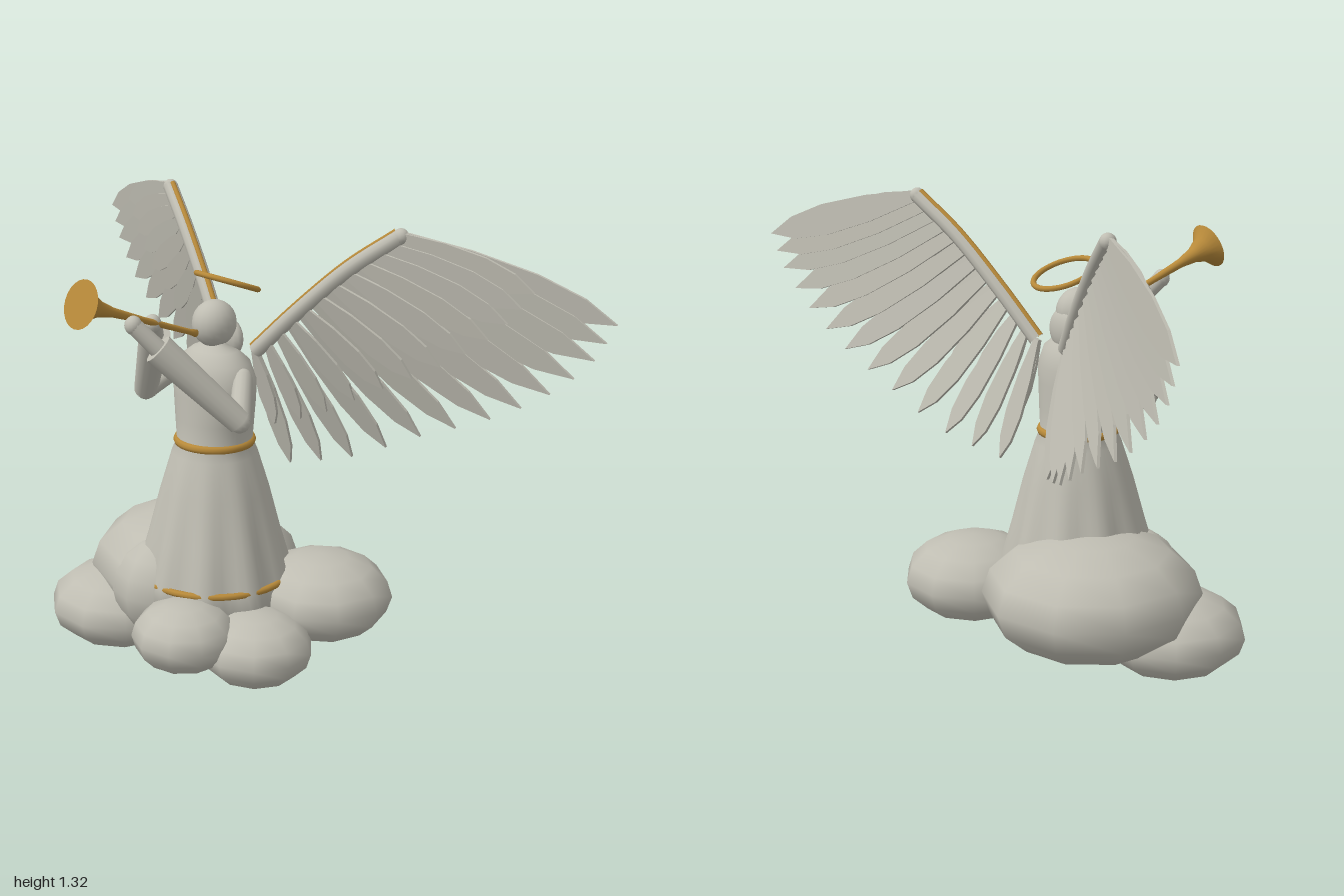
import * as THREE from 'three';
import { mergeVertices } from 'three/addons/utils/BufferGeometryUtils.js';

const V = (x, y, z) => new THREE.Vector3(x, y, z);
const UP = V(0, 1, 0);

export function createModel() {
  const model = new THREE.Group();
  model.name = 'trumpetingAngel';
  const stone = new THREE.MeshStandardMaterial({ color: 0xbfbdb2 });
  stone.name = 'pale stone';
  const gold = new THREE.MeshStandardMaterial({ color: 0xb88a3a });
  gold.name = 'gold';

  function add(name, geometry, material, parent = model) {
    const mesh = new THREE.Mesh(geometry, material);
    mesh.name = name;
    parent.add(mesh);
    return mesh;
  }
  // Tapered cylinder between two points
  function limb(name, a, b, ra, rb, parent) {
    const dir = b.clone().sub(a);
    const mesh = add(name, new THREE.CylinderGeometry(rb, ra, dir.length(), 14), stone, parent);
    mesh.position.copy(a).addScaledVector(dir, 0.5);
    mesh.quaternion.setFromUnitVectors(UP, dir.normalize());
  }
  function ball(name, p, sx, sy, sz, seg = [18, 12], parent = model) {
    const mesh = add(name, new THREE.SphereGeometry(1, ...seg), stone, parent);
    mesh.position.copy(p);
    mesh.scale.set(sx, sy, sz);
    return mesh;
  }
  function ring(name, y, z, r, tube, tilt = 0) {
    const mesh = add(name, new THREE.TorusGeometry(r, tube, 8, 40), gold);
    mesh.position.set(0, y, z);
    mesh.rotation.x = Math.PI / 2 - tilt;
  }

  // Cloud base: x, y, z, radius, half height
  const clouds = new THREE.Group();
  clouds.name = 'cloudBase';
  model.add(clouds);
  [
    [-0.145, 0.24, -0.075, 0.31, 0.178],
    [0.23, 0.21, -0.23, 0.205, 0.125],
    [0.245, 0.135, 0.045, 0.163, 0.105],
    [0.125, 0.18, 0.205, 0.148, 0.1],
    [-0.27, 0.12, 0.115, 0.21, 0.12],
    [-0.09, 0.23, 0.11, 0.14, 0.145],
  ].forEach(([x, y, z, r, h], i) => {
    ball('cloudPuff', V(x, y, z), r, h, r, [10, 8], clouds).rotation.y = i * 0.4 + 0.3;
  });

  // Robe: turned profile whose folds deepen towards the hem
  const profile = [[0, 0.16], [0.235, 0.17], [0.219, 0.28], [0.187, 0.4], [0.155, 0.53],
    [0.122, 0.64], [0.107, 0.675], [0.117, 0.74], [0.131, 0.81], [0.132, 0.86],
    [0.112, 0.91], [0.072, 0.94], [0.037, 0.955], [0.032, 0.98]];
  let robe = new THREE.LatheGeometry(profile.map(([r, y]) => new THREE.Vector2(r, y)), 60);
  const pos = robe.attributes.position;
  for (let i = 0; i < pos.count; i++) {
    const x = pos.getX(i), y = pos.getY(i), z = pos.getZ(i);
    const depth = 0.045 * THREE.MathUtils.clamp((0.66 - y) / 0.4, 0, 1);
    const k = 1 + depth * Math.cos(10 * Math.atan2(z, x) + 4);
    const flat = 1 - 0.23 * THREE.MathUtils.clamp((y - 0.69) / 0.12, 0, 1);
    pos.setXYZ(i, x * k, y, z * k * flat);
  }
  robe.deleteAttribute('uv');
  robe.deleteAttribute('normal');
  robe = mergeVertices(robe, 1e-5);
  robe.computeVertexNormals();
  add('robe', robe, stone).position.z = -0.02;
  ring('belt', 0.675, -0.02, 0.104, 0.013);
  ring('hemBand', 0.28, -0.02, 0.217, 0.01);

  // Head, hair and halo
  ball('head', V(0, 1.012, -0.018), 0.06, 0.066, 0.065);
  ball('hair', V(0, 0.965, -0.066), 0.06, 0.058, 0.029);
  ring('halo', 1.122, -0.066, 0.088, 0.008, 0.36);

  // Arms: the left hand reaches further along the trumpet
  [
    [1, V(0.06, 1.0, 0.235), V(0.02, 1.065, 0.285)],
    [-1, V(-0.055, 1.0, 0.15), V(-0.015, 1.045, 0.19)],
  ].forEach(([s, wrist, hand]) => {
    const arm = new THREE.Group();
    arm.name = s > 0 ? 'leftArm' : 'rightArm';
    model.add(arm);
    const shoulder = V(s * 0.115, 0.88, -0.02), elbow = V(s * 0.197, 0.792, 0.067);
    ball('shoulder', shoulder, 0.026, 0.026, 0.026, [14, 10], arm);
    limb('upperArm', shoulder, elbow, 0.027, 0.03, arm);
    ball('elbow', elbow, 0.03, 0.03, 0.03, [14, 10], arm);
    limb('sleeve', elbow, wrist, 0.034, 0.044, arm);
    limb('forearm', wrist, hand, 0.025, 0.023, arm);
    ball('hand', hand, 0.024, 0.026, 0.024, [14, 10], arm);
  });

  // Trumpet: thin pipe flaring into a bell
  const mouth = V(0, 0.995, 0.05), axis = V(0, 0.15, 0.39);
  const length = axis.length();
  const trumpet = new THREE.Group();
  trumpet.name = 'trumpet';
  trumpet.position.copy(mouth);
  trumpet.quaternion.setFromUnitVectors(UP, axis.normalize());
  model.add(trumpet);
  const bell = [[0, 0], [0.011, 0], [0.008, 0.02], [0.009, 0.2], [0.013, length - 0.11],
    [0.022, length - 0.06], [0.038, length - 0.025], [0.066, length]];
  add('pipeAndBell', new THREE.LatheGeometry(bell.map(([r, y]) => new THREE.Vector2(r, y)), 24),
    gold, trumpet);
  const bellFace = add('bellFace', new THREE.CircleGeometry(0.066, 24), gold, trumpet);
  bellFace.position.y = length;
  bellFace.rotation.x = -Math.PI / 2;

  // Feather blade: unit-length pointed outline along y, thickened
  const outline = [[-0.16, 0], [0.16, 0], [0.42, 0.32], [0.5, 0.62], [0.36, 0.84], [0, 1],
    [-0.36, 0.84], [-0.5, 0.62], [-0.42, 0.32]];
  const blade = new THREE.ExtrudeGeometry(
    new THREE.Shape(outline.map(([x, y]) => new THREE.Vector2(x, y))),
    { depth: 1, bevelEnabled: false });
  blade.translate(0, 0, -0.5);

  // Each feather lies flat towards the front, so neighbours overlap like louvres
  function feather(root, tip, width, parent) {
    const along = tip.clone().sub(root);
    const len = along.length();
    along.normalize();
    const normal = V(0, 0, 1).addScaledVector(along, -along.z).normalize();
    const across = along.clone().cross(normal);
    const m = new THREE.Matrix4().makeBasis(across, along, normal)
      .scale(V(width, len, 0.008)).setPosition(root);
    add('feather', blade.clone().applyMatrix4(m), stone, parent);
  }

  // Wings: curved arm with gold edge, long feathers and a shorter row on the front
  for (const s of [1, -1]) {
    const wing = new THREE.Group();
    wing.name = s > 0 ? 'leftWing' : 'rightWing';
    model.add(wing);
    const curve = (pts, dx = 0, dy = 0, dz = 0) => new THREE.CatmullRomCurve3(
      pts.map(([x, y, z]) => V(s * (x + dx), y + dy, z + dz)));
    const bonePoints = [[0.07, 0.93, -0.11], [0.19, 1.06, -0.155], [0.33, 1.195, -0.205],
      [0.46, 1.295, -0.255]];
    const bone = curve(bonePoints);
    const tips = curve([[0.12, 0.59, -0.205], [0.29, 0.635, -0.28], [0.48, 0.73, -0.345],
      [0.68, 0.82, -0.39], [0.84, 0.92, -0.425], [0.95, 1.03, -0.45], [1, 1.13, -0.463]]);
    add('wingArm', new THREE.TubeGeometry(bone, 16, 0.022, 10), stone, wing);
    ball('wingTipJoint', bone.getPoint(1), 0.022, 0.022, 0.022, [12, 8], wing);
    const edge = curve(bonePoints, -0.013, 0.013, 0.003);
    add('goldEdge', new THREE.TubeGeometry(edge, 16, 0.008, 8), gold, wing);

    // Rows: feather count, reach, width, forward offset
    [[13, 1, 0.088, 0], [12, 0.64, 0.074, 0.012]].forEach(([count, reach, width, lift]) => {
      for (let i = 0; i < count; i++) {
        const t = i / (count - 1);
        const root = bone.getPoint(t);
        const tip = root.clone().lerp(tips.getPoint(t), reach);
        root.z += lift * 0.4;
        tip.z += lift;
        feather(root, tip, width * (0.8 + 0.25 * t), wing);
      }
    });
  }
  return model;
}
